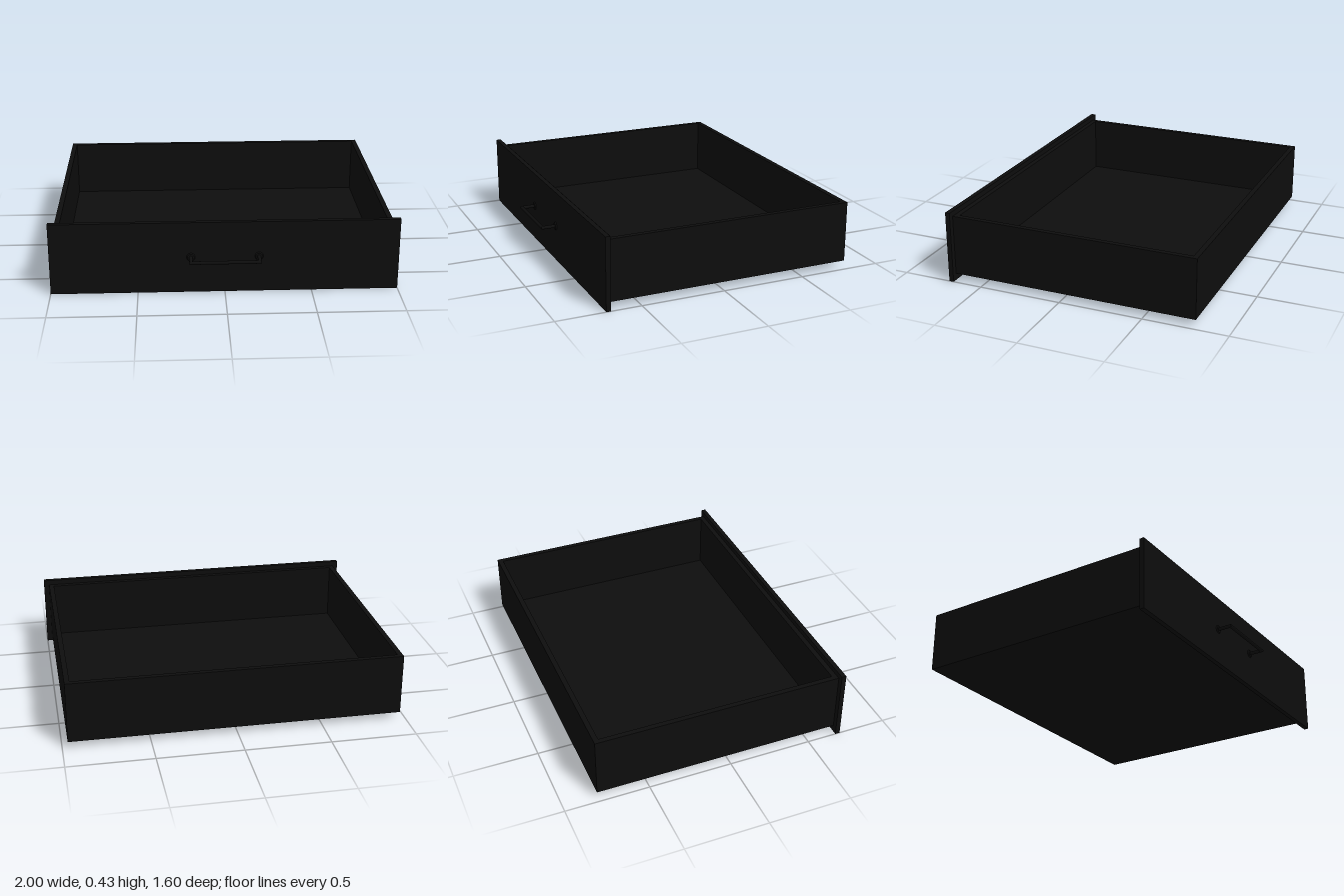
import * as THREE from 'three';

const material = new THREE.MeshStandardMaterial({ color: 0x0d0d0d });

function addMesh(parent, name, geometry, x, y, z) {
  const mesh = new THREE.Mesh(geometry, material);
  mesh.name = name;
  mesh.position.set(x, y, z);
  parent.add(mesh);
  return mesh;
}

// Box given by its minimum and maximum corners
function addBox(parent, name, [x0, y0, z0], [x1, y1, z1]) {
  return addMesh(parent, name, new THREE.BoxGeometry(x1 - x0, y1 - y0, z1 - z0),
    (x0 + x1) / 2, (y0 + y1) / 2, (z0 + z1) / 2);
}

// Round rod along x whose ends are cut at 45 degrees for the mitred corners
function mitredRod(radius, halfLength) {
  const geometry = new THREE.CylinderGeometry(radius, radius, 2 * halfLength, 20, 1, true);
  geometry.rotateZ(Math.PI / 2);
  const p = geometry.attributes.position;
  for (let i = 0; i < p.count; i++) p.setX(i, p.getX(i) + Math.sign(p.getX(i)) * p.getZ(i));
  return geometry;
}

// Round leg along z, mitred at its front end towards the given side
function mitredLeg(radius, length, side) {
  const geometry = new THREE.CylinderGeometry(radius, radius, length, 20, 1, true);
  geometry.rotateX(Math.PI / 2);
  geometry.translate(0, 0, length / 2);
  const p = geometry.attributes.position;
  for (let i = 0; i < p.count; i++) {
    if (p.getZ(i) > length / 2) p.setZ(i, p.getZ(i) + side * p.getX(i));
  }
  return geometry;
}

export function createModel() {
  const drawer = new THREE.Group();
  drawer.name = 'drawer';

  // Open tray
  const W = 0.968, T = 0.03, bottom = 0.04, top = 0.4, back = -0.8, front = 0.68;
  const tray = new THREE.Group();
  tray.name = 'tray';
  drawer.add(tray);
  addBox(tray, 'floor', [-W + T, bottom, back + T], [W - T, bottom + 0.02, front - T]);
  addBox(tray, 'leftWall', [W - T, bottom, back], [W, top, front]);
  addBox(tray, 'rightWall', [-W, bottom, back], [-W + T, top, front]);
  addBox(tray, 'backWall', [-W + T, bottom, back], [W - T, top, back + T]);
  addBox(tray, 'innerFrontWall', [-W + T, bottom, front - T], [W - T, top, front]);

  // Overlapping front panel
  addBox(drawer, 'frontPanel', [-1, 0, front], [1, 0.43, 0.708]);

  // Bar handle with two legs and round mounting plates
  const handle = new THREE.Group();
  handle.name = 'handle';
  handle.position.set(0, 0.218, 0.708);
  drawer.add(handle);
  const R = 0.01, half = 0.195, reach = 0.082;
  addMesh(handle, 'gripBar', mitredRod(R, half), 0, 0, reach);
  for (const side of [1, -1]) {
    const label = side > 0 ? 'left' : 'right';
    addMesh(handle, label + 'HandleLeg', mitredLeg(R, reach, side), side * half, 0, 0);
    const plate = new THREE.CylinderGeometry(0.02, 0.025, 0.007, 24).rotateX(Math.PI / 2);
    addMesh(handle, label + 'MountingPlate', plate, side * half, 0, 0.0035);
  }
  return drawer;
}
